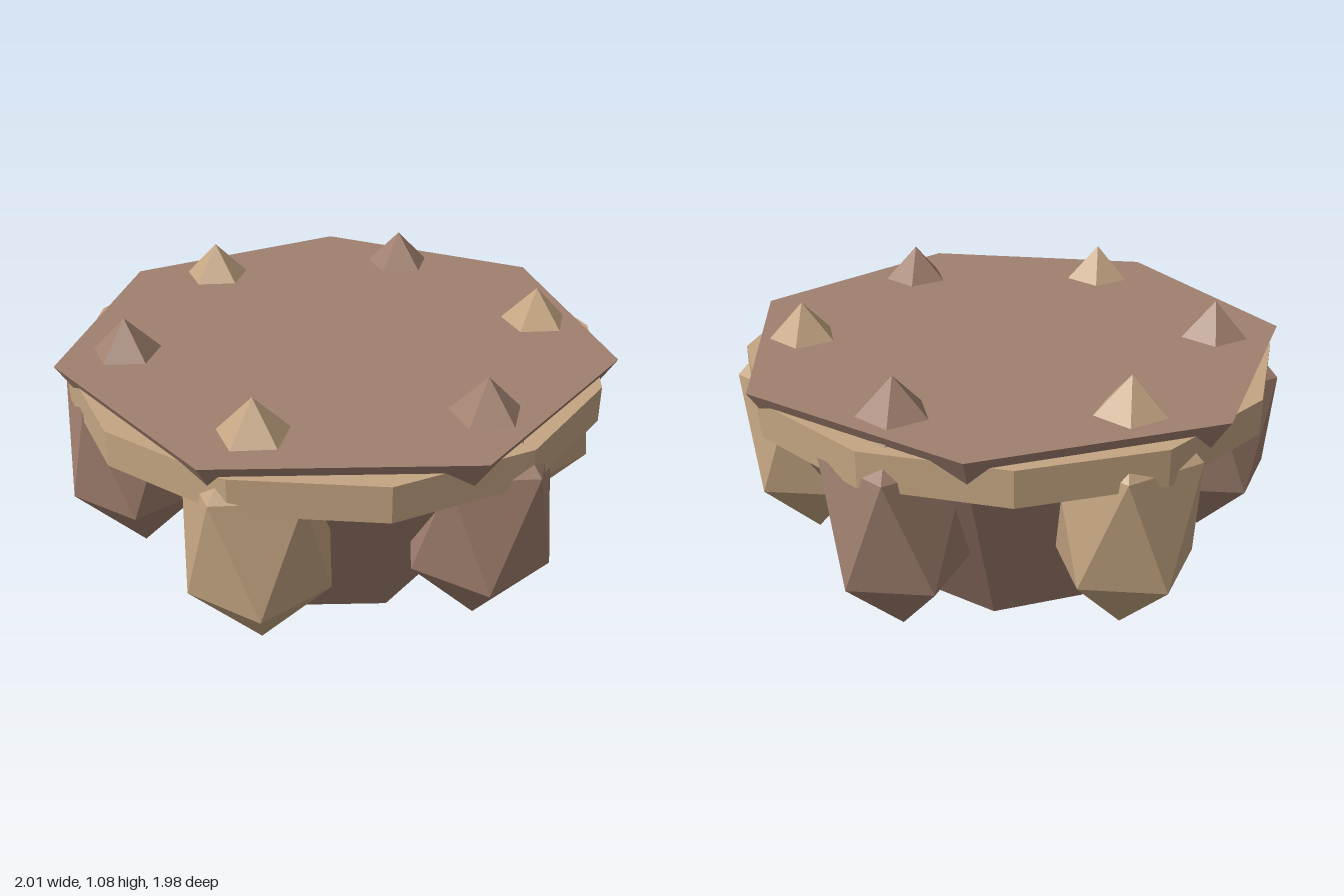
import * as THREE from 'three';

export function createModel() {
  const model = new THREE.Group();
  const brown = new THREE.MeshStandardMaterial({ name: 'brown clay', color: 0xa1806f, flatShading: true });
  const tan = new THREE.MeshStandardMaterial({ name: 'tan clay', color: 0xc4a582, flatShading: true });
  const centreZ = 0.02;

  function add(name, geometry, material, x, y, z) {
    const mesh = new THREE.Mesh(geometry, material);
    mesh.name = name;
    mesh.position.set(x, y, z + centreZ);
    model.add(mesh);
    return mesh;
  }

  // Seven-sided tapered bowl with one corner pointing backwards
  add('body', new THREE.CylinderGeometry(1.01, 0.41, 0.95, 7), brown, 0, 0.475, 0).rotation.y = Math.PI;

  // Twelve-sided band just below the rim
  add('rimBand', new THREE.CylinderGeometry(0.97, 0.97, 0.13, 12), tan, 0, 0.845, 0);

  // Stretched icosahedron standing on a corner, shared by all crystals
  const crystal = new THREE.IcosahedronGeometry(0.28, 0);
  crystal.rotateZ(-Math.atan(2 / (1 + Math.sqrt(5))));
  crystal.scale(1, 0.4725 / 0.28, 1);

  // Six crystals around the bowl, alternating in colour
  for (let i = 0; i < 6; i++) {
    const angle = (i * Math.PI) / 3;
    add('crystal' + (i + 1), crystal, i % 2 ? tan : brown,
      0.755 * Math.cos(angle), 0.6075, 0.755 * Math.sin(angle));
  }
  return model;
}
